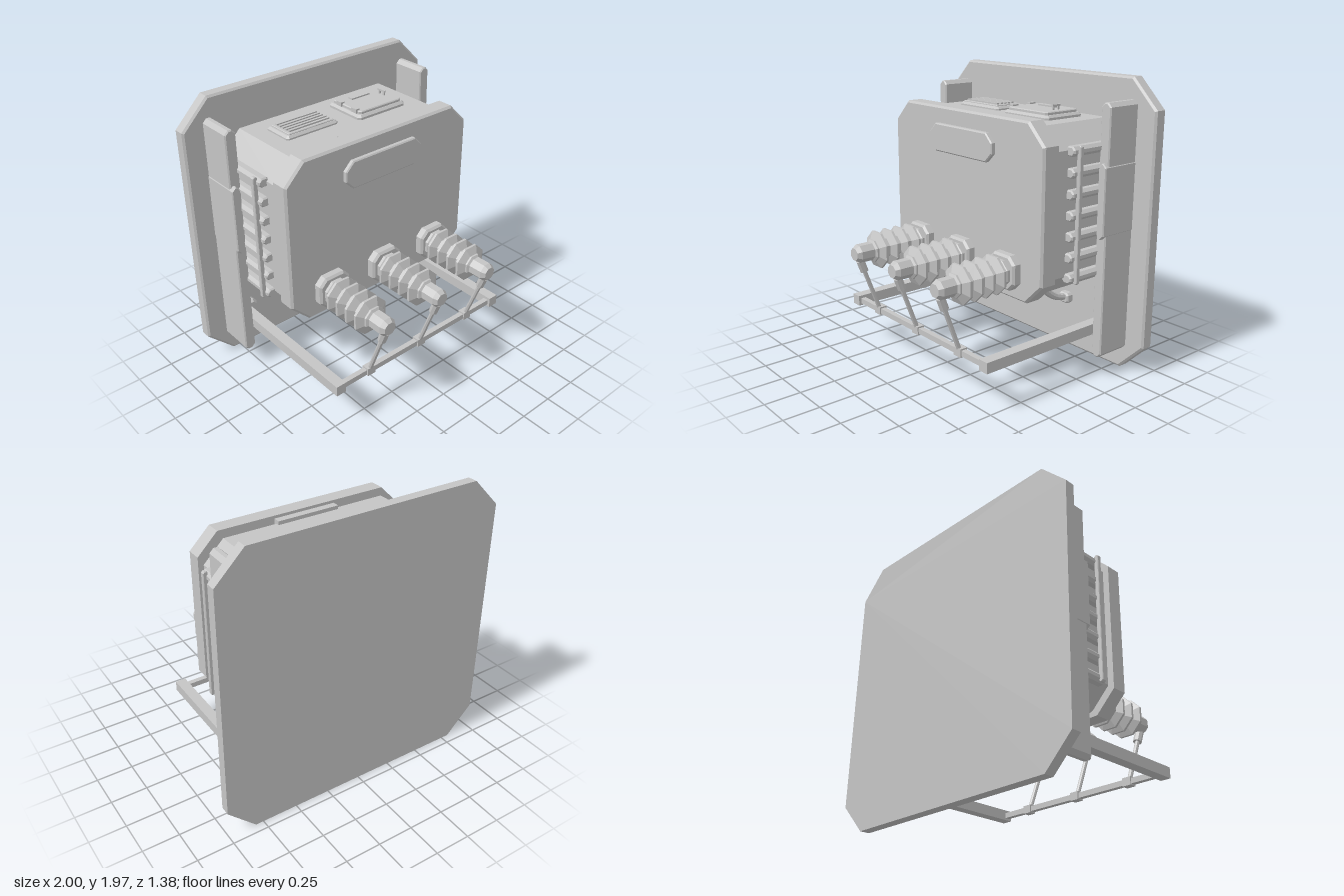
import * as THREE from 'three';

const grey = new THREE.MeshStandardMaterial({ color: 0xc4c4c4, flatShading: true });
grey.name = 'grey metal';

// Chamfered rectangle lofted along z; steps are [z, inset] from back to front.
function loft(w, h, c, steps) {
  const ring = ([z, d]) => {
    const a = w / 2 - d, b = h / 2 - d, k = Math.max(c - d * 0.586, 0.001);
    return [[a, b - k], [a - k, b], [k - a, b], [-a, b - k], [-a, k - b], [k - a, -b], [a - k, -b], [a, k - b]]
      .map(([x, y]) => [x, y, z]);
  };
  const rings = steps.map(ring), pos = [];
  const tri = (...p) => p.forEach((v) => pos.push(...v));
  for (let s = 0; s < rings.length - 1; s++) {
    const A = rings[s], B = rings[s + 1];
    for (let i = 0; i < 8; i++) {
      const j = (i + 1) % 8;
      tri(A[i], A[j], B[j]);
      tri(A[i], B[j], B[i]);
    }
  }
  const first = rings[0], last = rings[rings.length - 1];
  for (let i = 1; i < 7; i++) {
    tri(first[0], first[i + 1], first[i]);
    tri(last[0], last[i], last[i + 1]);
  }
  const g = new THREE.BufferGeometry();
  g.setAttribute('position', new THREE.Float32BufferAttribute(pos, 3));
  g.computeVertexNormals();
  return g;
}

function add(parent, name, geometry, x = 0, y = 0, z = 0) {
  const m = new THREE.Mesh(geometry, grey);
  m.name = name;
  m.position.set(x, y, z);
  parent.add(m);
  return m;
}

// Box given by its limits
function box(parent, name, x0, x1, y0, y1, z0, z1) {
  return add(parent, name, new THREE.BoxGeometry(x1 - x0, y1 - y0, z1 - z0),
    (x0 + x1) / 2, (y0 + y1) / 2, (z0 + z1) / 2);
}

// Bevelled plate lying on the tank roof
function roofPlate(parent, name, x0, x1, z0, z1, y0, y1, c, bevel) {
  const g = loft(x1 - x0, z1 - z0, c, [[y0, 0], [y1 - bevel, 0], [y1, bevel]]).rotateX(-Math.PI / 2);
  return add(parent, name, g, (x0 + x1) / 2, 0, (z0 + z1) / 2);
}

// Straight rod between two points
function rod(parent, name, a, b, r, sides) {
  const d = b.clone().sub(a), mid = a.clone().add(b).multiplyScalar(0.5);
  const m = add(parent, name, new THREE.CylinderGeometry(r, r, d.length(), sides), mid.x, mid.y, mid.z);
  m.quaternion.setFromUnitVectors(new THREE.Vector3(0, 1, 0), d.normalize());
  return m;
}

// Octagonal insulator turned around z with four flared sheds
function insulatorGeometry() {
  const profile = [[0, 0.1], [0.09, 0.1], [0.09, 0.185]];
  for (let i = 0; i < 4; i++) {
    const z = 0.235 + i * 0.09;
    profile.push([0.075, z - 0.035], [0.123, z - 0.012], [0.123, z + 0.005], [0.075, z + 0.032]);
  }
  profile.push([0.075, 0.55], [0.06, 0.56], [0.06, 0.66], [0.042, 0.69], [0, 0.69]);
  const k = 1 / Math.cos(Math.PI / 8);
  return new THREE.LatheGeometry(profile.map(([r, z]) => new THREE.Vector2(r * k, z)), 8, Math.PI / 8)
    .rotateX(Math.PI / 2).toNonIndexed();
}

export function createModel() {
  const model = new THREE.Group();
  model.name = 'wallMountedTank';

  // Wall plate, tank and front lid
  add(model, 'wallPlate', loft(2, 1.97, 0.195, [[-0.69, 0], [-0.622, 0], [-0.61, 0.014]]), 0, 0.985);
  add(model, 'tank', loft(1.47, 1.09, 0.14, [[-0.61, 0], [-0.04, 0], [-0.02, 0.02], [0, 0.02]]), 0, 1.15);
  add(model, 'frontLid', loft(1.52, 1.155, 0.14, [[-0.015, 0], [0.09, 0], [0.105, 0.014]]), 0, 1.162);
  add(model, 'blankPlate', loft(0.64, 0.19, 0.06, [[0.1, 0], [0.128, 0], [0.135, 0.008]]), 0, 1.533);
  box(model, 'roofStrip', -0.23, 0.22, 1.68, 1.72, -0.065, -0.01);

  // Roof vent with slats
  const vent = new THREE.Group();
  vent.name = 'roofVent';
  model.add(vent);
  roofPlate(vent, 'ventBase', -0.475, -0.065, -0.48, -0.25, 1.68, 1.72, 0.015, 0.015);
  roofPlate(vent, 'ventPanel', -0.45, -0.09, -0.462, -0.268, 1.7, 1.728, 0.005, 0.004);
  for (let i = 0; i < 5; i++) {
    const z = -0.43 + i * 0.033;
    box(vent, 'ventSlat', -0.43, -0.11, 1.72, 1.738, z - 0.009, z + 0.009);
  }

  // Roof hatch with hinges, grip and latch
  const hatch = new THREE.Group();
  hatch.name = 'roofHatch';
  model.add(hatch);
  roofPlate(hatch, 'hatchBase', 0.06, 0.475, -0.52, -0.19, 1.68, 1.725, 0.02, 0.015);
  roofPlate(hatch, 'hatchDoor', 0.085, 0.452, -0.5, -0.21, 1.7, 1.745, 0.015, 0.006);
  box(hatch, 'hatchGrip', 0.175, 0.33, 1.74, 1.755, -0.44, -0.4);
  for (const z of [-0.42, -0.265]) box(hatch, 'hatchHinge', 0.075, 0.105, 1.72, 1.755, z - 0.025, z + 0.025);
  for (const z of [-0.37, -0.325]) box(hatch, 'latchPost', 0.39, 0.402, 1.74, 1.775, z - 0.006, z + 0.006);
  box(hatch, 'latchBar', 0.39, 0.402, 1.767, 1.779, -0.385, -0.315);

  // Parts repeated on both sides
  for (const s of [1, -1]) {
    const side = new THREE.Group();
    side.name = s > 0 ? 'leftSide' : 'rightSide';
    model.add(side);
    add(side, 'rail', loft(0.078, 1.68, 0.026, [[-0.62, 0], [-0.368, 0], [-0.36, 0.008]]), s * 0.813, 0.99);
    add(side, 'railBracket', loft(0.06, 0.49, 0.025, [[-0.61, 0], [-0.34, 0], [-0.332, 0.006]]), s * 0.826, 1.213);
    // Cooling ribs tied by a vertical bar
    for (let i = 0; i < 7; i++) {
      const y = 1.55 - i * 0.136;
      add(side, 'coolingRib', loft(0.08, 0.062, 0.02, [[-0.58, 0], [-0.13, 0], [-0.12, 0.008]]), s * 0.75, y);
    }
    add(side, 'ribBar', loft(0.032, 0.89, 0.01, [[-0.182, 0.004], [-0.178, 0], [-0.156, 0], [-0.152, 0.004]]),
      s * 0.795, 1.145);
    // Arm of the lower frame
    add(side, 'armMount', loft(0.16, 0.16, 0.03, [[-0.61, 0], [-0.55, 0], [-0.53, 0.014]]), s * 0.7, 0.32);
    box(side, 'frameArm', s * 0.713 - 0.037, s * 0.713 + 0.037, 0.282, 0.355, -0.61, 0.53);
    // Bent conduit from tank floor to wall plate
    const x = s * 0.31;
    const bend = new THREE.CatmullRomCurve3([[0.62, -0.325], [0.56, -0.33], [0.47, -0.38], [0.4, -0.48], [0.37, -0.6]]
      .map(([y, z]) => new THREE.Vector3(x, y, z)));
    add(side, 'conduit', new THREE.TubeGeometry(bend, 10, 0.026, 8));
    add(side, 'conduitCollar', new THREE.CylinderGeometry(0.048, 0.048, 0.04, 8), x, 0.595, -0.325);
    add(side, 'conduitMount', loft(0.09, 0.075, 0.015, [[-0.61, 0], [-0.57, 0], [-0.56, 0.01]]), x, 0.37);
  }

  // Front bar of the lower frame
  box(model, 'frameFrontBar', -0.68, 0.68, 0.297, 0.335, 0.475, 0.512);

  // Insulators, each with a strut down to the frame
  const insulator = insulatorGeometry();
  for (const x of [-0.45, 0, 0.45]) {
    const g = new THREE.Group();
    g.name = 'insulatorUnit';
    g.position.x = x;
    model.add(g);
    add(g, 'flange', loft(0.245, 0.23, 0.05, [[0.1, 0], [0.15, 0], [0.165, 0.014]]), 0, 0.77);
    add(g, 'insulator', insulator, 0, 0.763);
    const top = new THREE.Vector3(0, 0.71, 0.645), foot = new THREE.Vector3(0, 0.31, 0.495);
    rod(g, 'strut', foot, top, 0.016, 8);
    rod(g, 'strutSocket', top.clone().lerp(foot, 0.2), top, 0.03, 8);
    box(g, 'strutClamp', -0.033, 0.033, 0.288, 0.345, 0.467, 0.52);
  }
  return model;
}
